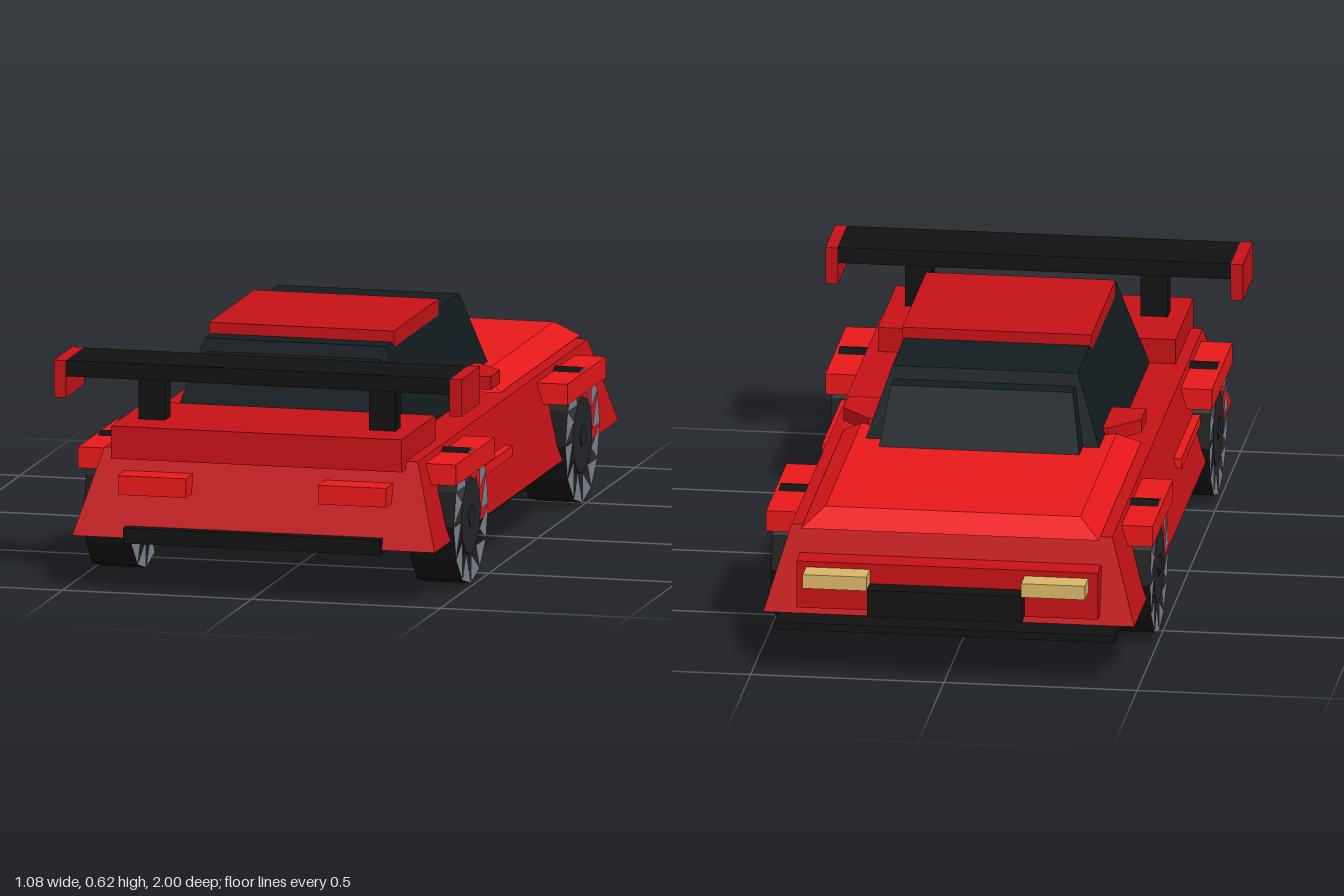
import * as THREE from 'three';

const paint = (color, extra = {}) => new THREE.MeshStandardMaterial({ color, flatShading: true, ...extra });

export function createModel() {
  const car = new THREE.Group();
  car.name = 'sportsCar';
  const red = paint(0xc41216), brightRed = paint(0xe8181a), black = paint(0x121212);
  const glass = paint(0x131c20), tan = paint(0xd8b468), steel = paint(0x808590), hubGrey = paint(0x24252a);

  function add(name, geometry, material, parent = car) {
    const mesh = new THREE.Mesh(geometry, material);
    mesh.name = name;
    parent.add(mesh);
    return mesh;
  }

  // Block between two heights; base and top are [x0, x1, z0, z1]
  function block(name, material, y0, y1, base, top = base) {
    const g = new THREE.BoxGeometry(1, 1, 1);
    const p = g.attributes.position;
    for (let i = 0; i < p.count; i++) {
      const r = p.getY(i) > 0 ? top : base;
      p.setXYZ(i, p.getX(i) > 0 ? r[1] : r[0], p.getY(i) > 0 ? y1 : y0, p.getZ(i) > 0 ? r[3] : r[2]);
    }
    g.computeVertexNormals();
    return add(name, g, material);
  }
  const centred = (w, z0, z1) => [-w, w, z0, z1];
  const sided = (s, x0, x1, z0, z1) => [Math.min(s * x0, s * x1), Math.max(s * x0, s * x1), z0, z1];

  // Main shell, bonnet, rear deck and nose
  block('body', red, 0.14, 0.36, centred(0.48, -0.905, 0.98), centred(0.415, -0.845, 0.9));
  block('bonnet', brightRed, 0.362, 0.405, centred(0.385, -0.885, -0.06), centred(0.33, -0.825, -0.13));
  block('rearDeck', red, 0.34, 0.425, centred(0.385, 0.6, 0.95));
  block('nose', red, 0.165, 0.29, centred(0.39, -0.935, -0.8));

  // Cabin with windscreen, rear louvre and roof panel
  block('cabin', glass, 0.36, 0.588, centred(0.317, -0.265, 0.602), centred(0.24, -0.205, 0.55));
  block('windscreen', glass, 0.4, 0.555, centred(0.26, -0.32, -0.18), centred(0.235, -0.265, -0.18));
  block('rearLouvre', glass, 0.51, 0.555, centred(0.19, 0.5, 0.56), centred(0.23, 0.5, 0.655));
  block('roofPanel', red, 0.575, 0.617, centred(0.245, 0.025, 0.485));

  // Front and rear trim
  block('frontSplitter', black, 0.12, 0.14, centred(0.44, -0.985, -0.83));
  block('grille', black, 0.165, 0.237, centred(0.2, -0.99, -0.93));
  block('rearSkirt', black, 0.13, 0.17, centred(0.34, 0.9, 1.0));

  // Rear wing
  block('wing', black, 0.545, 0.587, centred(0.51, 0.75, 0.93));

  for (const s of [1, -1]) {
    const side = s > 0 ? 'left' : 'right';
    block(side + 'WingEndPlate', red, 0.49, 0.587, sided(s, 0.508, 0.54, 0.745, 0.935));
    block(side + 'WingSupport', black, 0.42, 0.55, sided(s, 0.27, 0.34, 0.785, 0.84));
    block(side + 'Headlight', tan, 0.238, 0.275, sided(s, 0.2, 0.365, -1.0, -0.93));
    block(side + 'TailLight', brightRed, 0.255, 0.305, sided(s, 0.175, 0.355, 0.9, 0.995));
    block(side + 'SideSkirt', black, 0.125, 0.145, sided(s, 0.42, 0.465, -0.4, 0.52));
    block(side + 'SideMoulding', brightRed, 0.235, 0.262, sided(s, 0.4, 0.465, 0.12, 0.49));

    // Door mirror with a swept leading edge
    const outline = new THREE.Shape([[0.27, 0.035], [0.385, 0.035], [0.385, -0.06], [0.31, -0.14], [0.27, -0.14]]
      .map(([x, z]) => new THREE.Vector2(s * x, z)));
    const mirror = new THREE.ExtrudeGeometry(outline, { depth: 0.035, bevelEnabled: false });
    mirror.rotateX(Math.PI / 2).translate(0, 0.422, 0);
    add(side + 'Mirror', mirror, red);

    // Wheels with their arch flares
    for (const [end, z, f0, f1] of [['Front', -0.5, -0.7, -0.305], ['Rear', 0.645, 0.445, 0.84]]) {
      block(side + end + 'Flare', brightRed, 0.29, 0.345, sided(s, 0.38, 0.5, f0, f1));
      const wheel = makeWheel();
      wheel.name = side + end + 'Wheel';
      wheel.position.set(s * 0.43, 0.177, z);
      if (s < 0) wheel.rotation.y = Math.PI;
      car.add(wheel);
    }
  }

  // Open tyre, toothed spoke rings on both faces and a solid hub
  function makeWheel() {
    const wheel = new THREE.Group();
    const R = 0.177, r = 0.1, n = 12, half = 0.06;
    const tyre = new THREE.CylinderGeometry(R, R, half * 2, n, 1, true).rotateZ(Math.PI / 2);
    add('tyre', tyre, black, wheel);
    const hub = new THREE.CylinderGeometry(r, r, half * 2, n).rotateZ(Math.PI / 2);
    add('hub', hub, hubGrey, wheel);
    const cap = new THREE.CylinderGeometry(0.025, 0.03, half * 2 + 0.006, 6).rotateZ(Math.PI / 2);
    add('hubCap', cap, hubGrey, wheel);

    const pts = [];
    const at = (x, rad, i) => {
      const a = (i / n) * Math.PI * 2;
      return [x, rad * Math.cos(a), rad * Math.sin(a)];
    };
    for (let i = 0; i < n; i++) {
      pts.push(...at(half, R, i), ...at(half, R, i + 1), ...at(half, r, i));
      pts.push(...at(-half, R, i + 1), ...at(-half, R, i), ...at(-half, r, i));
    }
    const ring = new THREE.BufferGeometry();
    ring.setAttribute('position', new THREE.Float32BufferAttribute(pts, 3));
    ring.computeVertexNormals();
    add('spokes', ring, steel, wheel);
    return wheel;
  }

  return car;
}
